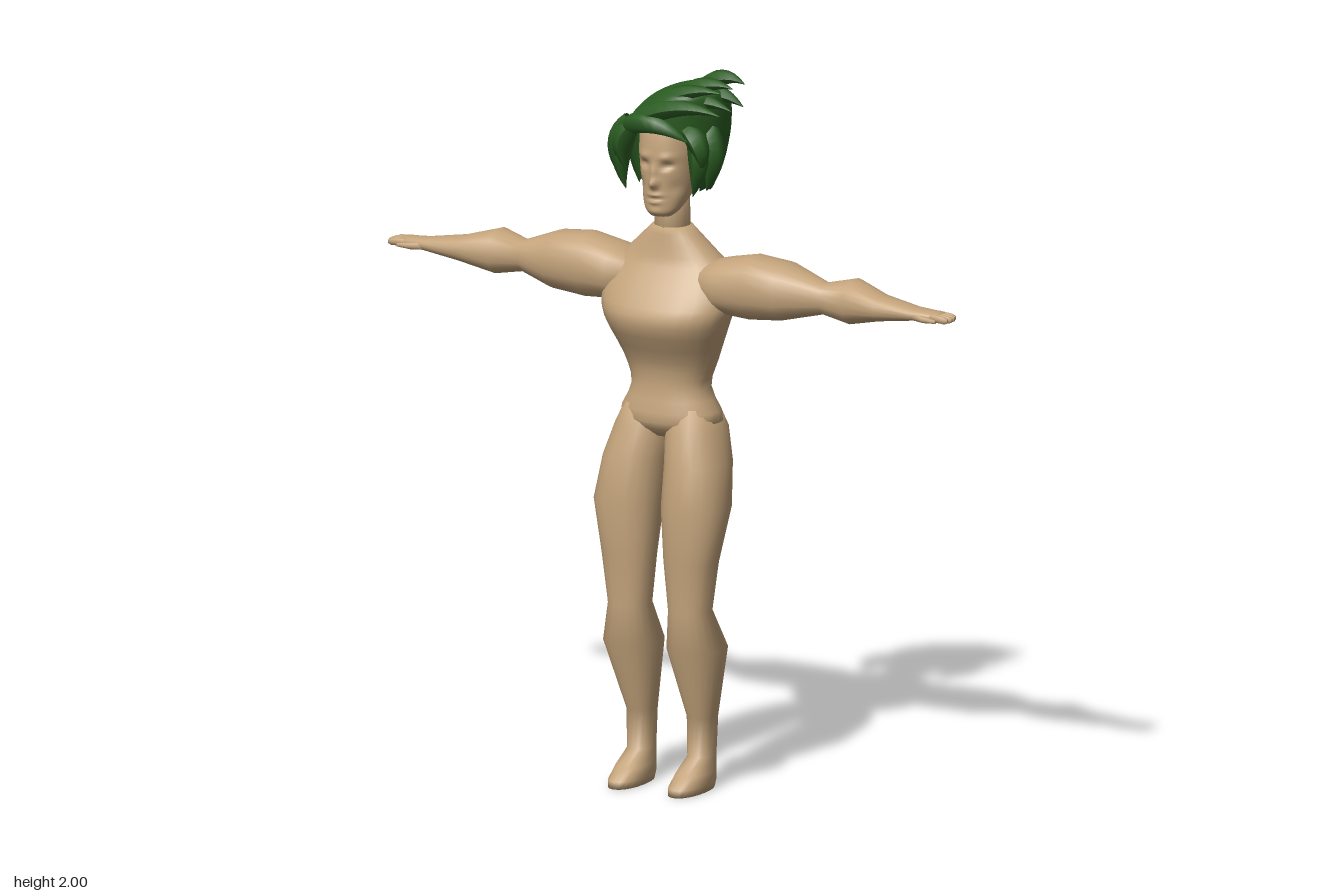
import * as THREE from 'three';

const TAU = Math.PI * 2;
const skin = new THREE.MeshStandardMaterial({ color: 0xc3a37b });
skin.name = 'skin';
const green = new THREE.MeshStandardMaterial({ color: 0x2b5c22, side: THREE.DoubleSide });
green.name = 'hair green';

// Smoothly samples a list of rings at s in 0..1
function sample(rings, s) {
  const f = s * (rings.length - 1);
  const i = Math.min(Math.floor(f), rings.length - 2);
  const t = f - i;
  const r = (k) => rings[Math.max(0, Math.min(rings.length - 1, k))];
  return r(i).map((b, k) => {
    const a = r(i - 1)[k], c = r(i + 1)[k], d = r(i + 2)[k];
    return b + 0.5 * t * (c - a + t * (2 * a - 5 * b + 4 * c - d + t * (3 * (b - c) + d - a)));
  });
}

// Skins oval rings [position, min1, max1, min2, max2].
// Upright rings measure x then z; sideways rings (axis x) measure z then y.
function loft(rings, { n = 20, rows = rings.length - 1, sideways = false, power = 0.9, start = () => 0, cap = true, deform } = {}) {
  const pos = [], index = [];
  const put = (a, t, b) => {
    const p = sideways ? [t, b, a] : [a, t, b];
    if (deform) deform(p);
    pos.push(...p);
  };
  const bend = (v) => Math.sign(v) * Math.abs(v) ** power;
  for (let i = 0; i <= rows; i++) {
    for (let j = 0; j < n; j++) {
      const th = (j / n) * TAU, s0 = start(th);
      const [t, a0, a1, b0, b1] = sample(rings, s0 + (1 - s0) * (i / rows));
      put((a0 + a1) / 2 + bend(Math.cos(th)) * (a1 - a0) / 2, t, (b0 + b1) / 2 + bend(Math.sin(th)) * (b1 - b0) / 2);
    }
  }
  for (let i = 0; i < rows; i++) {
    for (let j = 0; j < n; j++) {
      const k = (j + 1) % n, a = i * n + j, b = i * n + k;
      index.push(a, a + n, b, b, a + n, b + n);
    }
  }
  // Closed ends
  for (const end of cap ? [0, 1] : [1]) {
    const [t, a0, a1, b0, b1] = rings[end ? rings.length - 1 : 0];
    const c = pos.length / 3, base = end ? rows * n : 0;
    put((a0 + a1) / 2, t, (b0 + b1) / 2);
    for (let j = 0; j < n; j++) {
      const p = base + j, q = base + (j + 1) % n;
      index.push(c, ...(end ? [q, p] : [p, q]));
    }
  }
  const g = new THREE.BufferGeometry();
  g.setAttribute('position', new THREE.Float32BufferAttribute(pos, 3));
  g.setIndex(index);
  g.computeVertexNormals();
  return g;
}

// Rings [y, half width, back, front] centred on x = 0
const centred = (rings) => rings.map(([y, w, back, front]) => [y, -w, w, back, front]);

// Tapering lock of hair that arches from root to tip
function lock(root, tip, arch) {
  const a = new THREE.Vector3(...root), b = new THREE.Vector3(...tip);
  const curve = new THREE.QuadraticBezierCurve3(a, a.clone().lerp(b, 0.5).add(arch), b);
  const g = new THREE.TubeGeometry(curve, 10, 0.029, 6);
  const p = g.attributes.position, v = new THREE.Vector3();
  for (let i = 0; i < p.count; i++) {
    const u = Math.floor(i / 7) / 10;
    const c = curve.getPointAt(u);
    v.fromBufferAttribute(p, i).sub(c).multiplyScalar(0.02 + 0.98 * Math.sin(Math.PI * (0.25 + 0.75 * u))).add(c);
    p.setXYZ(i, v.x, v.y, v.z);
  }
  g.computeVertexNormals();
  return g;
}

export function createModel() {
  const model = new THREE.Group();
  model.name = 'figure';
  const add = (name, geometry, material = skin) => {
    const mesh = new THREE.Mesh(geometry, material);
    mesh.name = name;
    model.add(mesh);
  };

  // Torso from pelvis to the base of the neck
  add('torso', loft(centred([
    [0.985, 0.07, -0.06, 0.06], [1.03, 0.15, -0.095, 0.097], [1.12, 0.115, -0.075, 0.082],
    [1.2, 0.138, -0.085, 0.092], [1.31, 0.182, -0.098, 0.15], [1.38, 0.2, -0.105, 0.125],
    [1.45, 0.18, -0.1, 0.08], [1.49, 0.14, -0.085, 0.062], [1.57, 0.055, -0.05, 0.047],
  ]), { n: 28, rows: 24 }));
  add('neck', loft(centred([[1.55, 0.05, -0.05, 0.047], [1.66, 0.048, -0.05, 0.05]]), { power: 1 }));

  // Limbs, listed for the +x side and mirrored
  const leg = [
    [0, 0.052, 0.138, -0.038, 0.155], [0.02, 0.048, 0.142, -0.043, 0.152], [0.05, 0.05, 0.14, -0.042, 0.11],
    [0.09, 0.058, 0.132, -0.04, 0.045], [0.2, 0.055, 0.136, -0.045, 0.045], [0.4, 0.02, 0.18, -0.05, 0.122],
    [0.51, 0.035, 0.155, 0.008, 0.122], [0.65, 0.02, 0.175, -0.002, 0.13], [0.8, 0.01, 0.202, -0.04, 0.142],
    [0.92, 0.008, 0.185, -0.075, 0.122], [1.01, 0, 0.158, -0.095, 0.098], [1.07, 0.02, 0.13, -0.075, 0.075],
  ];
  const arm = [
    [0.08, -0.08, 0.06, 1.37, 1.47], [0.17, -0.098, 0.085, 1.34, 1.495], [0.26, -0.09, 0.085, 1.335, 1.515],
    [0.36, -0.092, 0.085, 1.345, 1.505], [0.475, -0.06, 0.025, 1.372, 1.46], [0.56, -0.094, 0.045, 1.355, 1.48],
    [0.66, -0.055, 0.045, 1.38, 1.452], [0.77, -0.034, 0.036, 1.397, 1.434], [0.85, -0.028, 0.028, 1.403, 1.428],
  ];
  const finger = (z, tip) => [
    [0.83, z - 0.009, z + 0.009, 1.405, 1.427], [tip - 0.01, z - 0.008, z + 0.008, 1.402, 1.423],
    [tip, z - 0.004, z + 0.004, 1.406, 1.418],
  ];
  const thumb = [[0.77, 0.015, 0.034, 1.402, 1.425], [0.81, 0.022, 0.041, 1.4, 1.419], [0.85, 0.028, 0.038, 1.403, 1.413]];
  for (const [label, side] of [['left', 1], ['right', -1]]) {
    const upright = (rings) => (side > 0 ? rings : rings.map(([y, a, b, c, d]) => [y, -b, -a, c, d]));
    const across = (rings) => (side > 0 ? rings : rings.map(([x, ...r]) => [-x, ...r]).reverse());
    add(label + 'Leg', loft(upright(leg)));
    add(label + 'Arm', loft(across(arm), { sideways: true }));
    for (let i = 0; i < 4; i++) {
      const f = finger(-0.022 + i * 0.015, 0.89 - 0.005 * Math.abs(i - 1.6));
      add(label + 'Finger', loft(across(f), { sideways: true, n: 8 }));
    }
    add(label + 'Thumb', loft(across(thumb), { sideways: true, n: 8 }));
  }

  // Nose, eye sockets, brows, lips, chin and cheeks, same on both sides: [x, y, depth, x spread, y spread]
  const features = [
    [0, 1.703, 0.024, 0.011, 0.014], [0, 1.735, 0.012, 0.009, 0.022],
    [0.035, 1.753, -0.013, 0.016, 0.009], [0.035, 1.778, 0.006, 0.022, 0.008],
    [0, 1.669, 0.008, 0.02, 0.006], [0, 1.66, -0.006, 0.022, 0.004], [0, 1.65, 0.008, 0.017, 0.006],
    [0, 1.622, 0.005, 0.02, 0.012], [0.052, 1.69, -0.006, 0.016, 0.02],
  ];
  add('head', loft(centred([
    [1.608, 0.03, 0.03, 0.083], [1.625, 0.048, 0.005, 0.092], [1.66, 0.063, -0.045, 0.095],
    [1.7, 0.073, -0.08, 0.096], [1.75, 0.08, -0.1, 0.098], [1.8, 0.084, -0.11, 0.098],
    [1.86, 0.08, -0.1, 0.085], [1.92, 0.05, -0.06, 0.05],
  ]), {
    n: 64, rows: 48, power: 0.88,
    deform: (p) => {
      if (p[2] < 0.03) return;
      const x = Math.abs(p[0]), y = p[1];
      for (const [fx, fy, d, sx, sy] of features) p[2] += d * Math.exp(-(((x - fx) / sx) ** 2) - ((y - fy) / sy) ** 2);
    },
  }));

  // Hair cap, cut high over the forehead and low behind
  add('hairCap', loft([
    [1.665, -0.095, 0.1, -0.105, 0.07], [1.74, -0.125, 0.13, -0.14, 0.095], [1.82, -0.142, 0.148, -0.155, 0.108],
    [1.88, -0.11, 0.155, -0.148, 0.112], [1.93, -0.055, 0.155, -0.13, 0.108], [1.96, 0, 0.145, -0.09, 0.09],
    [1.975, 0.05, 0.11, -0.03, 0.04],
  ], {
    n: 48, rows: 16, cap: false, power: 0.95,
    start: (th) => 0.02 + 0.37 * THREE.MathUtils.smoothstep(Math.sin(th), 0.35, 0.8) + 0.015 * (1 + Math.sin(th * 9)),
  }), green);

  // Locks swept over the top towards +x, front to back
  const up = new THREE.Vector3(0, 0.075, 0.01);
  for (let i = 0; i < 6; i++) {
    const z = 0.095 - i * 0.032;
    add('sweptLock', lock([-0.09 + i * 0.025, 1.85 + i * 0.012, z - 0.01], [0.215 - 0.015 * (i % 2), 1.92 + 0.055 * (i % 2), z + 0.015], up), green);
  }
  add('fringe', lock([-0.11, 1.84, 0.07], [0.11, 1.83, 0.1], new THREE.Vector3(0, 0.08, 0.06)), green);

  // Locks hanging beside the face: [root x, tip x, tip y, z]
  for (const [x, tipX, tipY, z] of [
    [-0.08, -0.105, 1.67, 0.07], [-0.07, -0.095, 1.73, 0.085], [-0.11, -0.135, 1.69, 0.04],
    [0.1, 0.1, 1.67, 0.06], [0.09, 0.135, 1.75, 0.075], [0.13, 0.12, 1.68, 0.02],
  ]) {
    const out = new THREE.Vector3(Math.sign(x) * 0.045, 0.02, 0.015);
    add('sideLock', lock([x, 1.86, z], [tipX, tipY, z], out), green);
  }

  return model;
}
